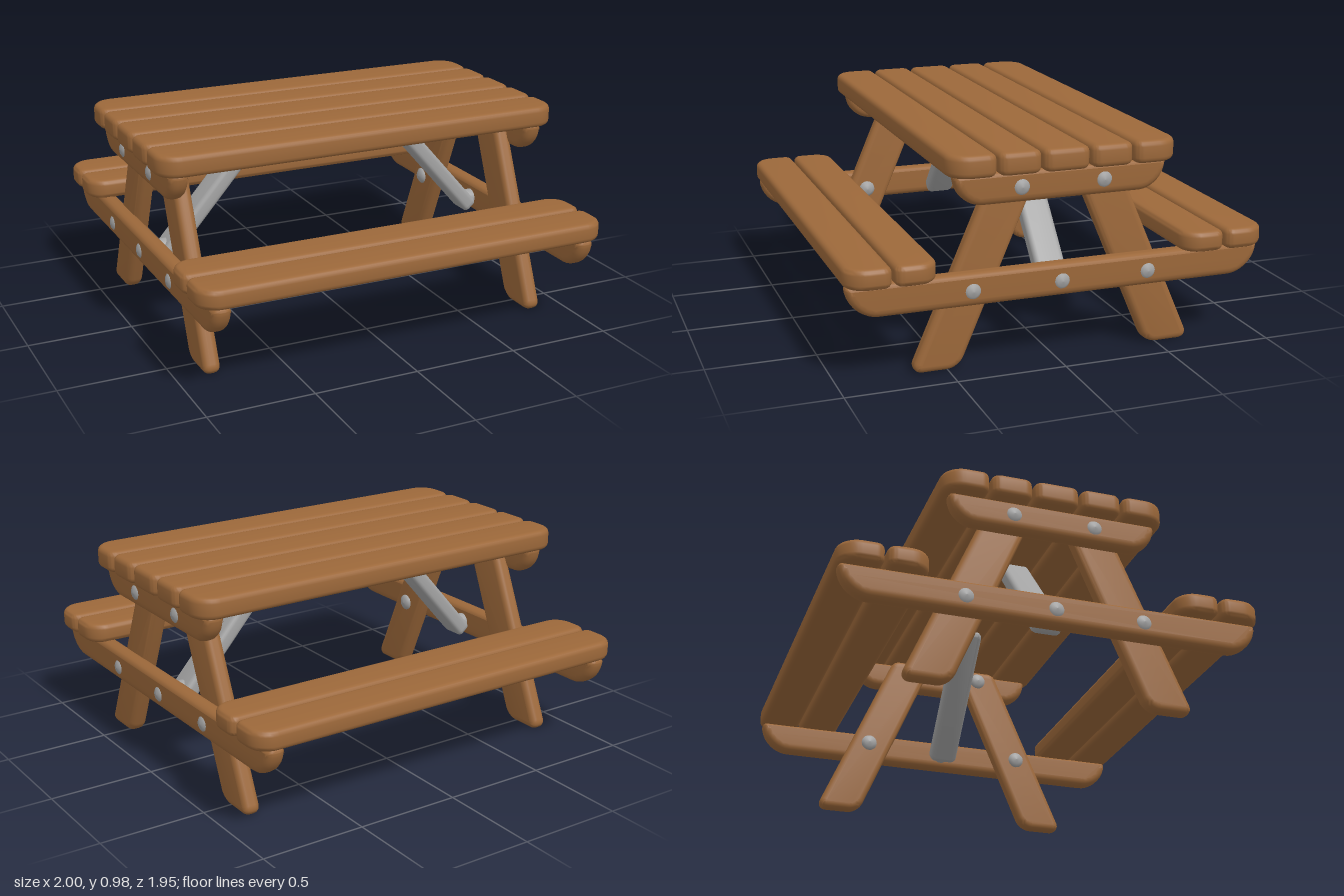
import * as THREE from 'three';
import { toCreasedNormals } from 'three/addons/utils/BufferGeometryUtils.js';

const wood = new THREE.MeshStandardMaterial({ color: 0x9c683a });
wood.name = 'wood';
const metal = new THREE.MeshStandardMaterial({ color: 0xa3a3a3 });
metal.name = 'grey metal';

// Soft-edged board: corners are [u, v, radius], counter-clockwise; centred along its thickness
function board(corners, thickness, bevel) {
  const shape = new THREE.Shape();
  const n = corners.length;
  corners.forEach(([x, y, r], i) => {
    const p = new THREE.Vector2(x, y);
    const toward = ([qx, qy]) => {
      const d = new THREE.Vector2(qx, qy).sub(p);
      return d.setLength(r).add(p);
    };
    const a = toward(corners[(i + n - 1) % n]);
    const b = toward(corners[(i + 1) % n]);
    if (i === 0) shape.moveTo(a.x, a.y);
    else shape.lineTo(a.x, a.y);
    // Cubic handles at 0.55 approximate a circular corner
    const c1 = a.clone().lerp(p, 0.55);
    const c2 = b.clone().lerp(p, 0.55);
    shape.bezierCurveTo(c1.x, c1.y, c2.x, c2.y, b.x, b.y);
  });
  shape.closePath();
  const geometry = new THREE.ExtrudeGeometry(shape, {
    depth: thickness - 2 * bevel,
    bevelThickness: bevel,
    bevelSize: bevel,
    bevelOffset: -bevel,
    bevelSegments: 4,
    curveSegments: 8,
  });
  geometry.translate(0, 0, -thickness / 2 + bevel);
  return toCreasedNormals(geometry, 0.8);
}

export function createModel() {
  const model = new THREE.Group();
  model.name = 'picnicTable';

  function add(name, geometry, material, x = 0, y = 0, z = 0) {
    const mesh = new THREE.Mesh(geometry, material);
    mesh.name = name;
    mesh.position.set(x, y, z);
    model.add(mesh);
    return mesh;
  }

  // Long plank from z0 to z1, with its own corner radius on each long edge
  function plank(name, z0, z1, r0, r1, y, height) {
    const g = board([[-1, z0, r0], [1, z0, r0], [1, z1, r1], [-1, z1, r1]], height, 0.025);
    add(name, g.rotateX(Math.PI / 2), wood, 0, y);
  }

  // Table top
  plank('tablePlankMiddle', -0.105, 0.105, 0.04, 0.04, 0.938, 0.1);
  plank('tablePlankInnerFront', 0.115, 0.305, 0.04, 0.04, 0.938, 0.1);
  plank('tablePlankInnerBack', -0.305, -0.115, 0.04, 0.04, 0.938, 0.1);
  plank('tablePlankOuterFront', 0.315, 0.525, 0.04, 0.1, 0.938, 0.1);
  plank('tablePlankOuterBack', -0.525, -0.315, 0.1, 0.04, 0.938, 0.1);

  // Benches
  plank('benchPlankInnerFront', 0.57, 0.763, 0.09, 0.04, 0.5, 0.093);
  plank('benchPlankOuterFront', 0.775, 0.976, 0.04, 0.1, 0.5, 0.093);
  plank('benchPlankInnerBack', -0.763, -0.57, 0.04, 0.09, 0.5, 0.093);
  plank('benchPlankOuterBack', -0.976, -0.775, 0.1, 0.04, 0.5, 0.093);

  // Crossbeam with round lower corners
  const beam = (half, y0, y1, r) => board(
    [[-half + 0.03, y0, r], [half - 0.03, y0, r], [half, y1, 0.025], [-half, y1, 0.025]],
    0.09, 0.035).rotateY(Math.PI / 2);
  const upperBeam = beam(0.492, 0.752, 0.893, 0.1);
  const lowerBeam = beam(0.968, 0.31, 0.459, 0.115);

  // Splayed leg, s = which way it leans along z
  const leg = (s) => {
    const corners = [[0.67, 0.003, 0.055], [0.447, 0.003, 0.055], [0.07, 0.885, 0.03], [0.285, 0.885, 0.03]];
    const flipped = corners.map(([z, y, r]) => [-s * z, y, r]);
    return board(s > 0 ? flipped : flipped.reverse(), 0.08, 0.03).rotateY(Math.PI / 2);
  };
  const legs = { Front: leg(1), Back: leg(-1) };

  // Through bolt with a shallow dome at each end
  const boltPoints = [[0, -0.092], [0.024, -0.088], [0.04, -0.076], [0.042, -0.06],
    [0.042, 0.06], [0.04, 0.076], [0.024, 0.088], [0, 0.092]];
  const bolt = new THREE.LatheGeometry(boltPoints.map(([r, y]) => new THREE.Vector2(r, y)), 20)
    .rotateZ(Math.PI / 2);

  // Diagonal brace
  const from = new THREE.Vector2(0.347, 0.895);
  const to = new THREE.Vector2(0.83, 0.345);
  const length = from.distanceTo(to);
  const brace = board([[-length / 2, -0.07, 0.03], [length / 2, -0.07, 0.03],
    [length / 2, 0.07, 0.03], [-length / 2, 0.07, 0.03]], 0.075, 0.022).rotateX(Math.PI / 2);

  for (const [side, s] of [['Left', 1], ['Right', -1]]) {
    add('upperBeam' + side, upperBeam, wood, s * 0.9);
    add('lowerBeam' + side, lowerBeam, wood, s * 0.9);
    for (const end of ['Front', 'Back']) add('leg' + end + side, legs[end], wood, s * 0.835);
    for (const z of [-0.19, 0.19]) add('upperBolt' + side, bolt, metal, s * 0.865, 0.823, z);
    for (const z of [-0.41, 0, 0.41]) add('lowerBolt' + side, bolt, metal, s * 0.865, 0.382, z);
    const b = add('brace' + side, brace, metal, s * (from.x + to.x) / 2, (from.y + to.y) / 2);
    b.rotation.z = s * Math.atan2(to.y - from.y, to.x - from.x);
  }
  return model;
}
